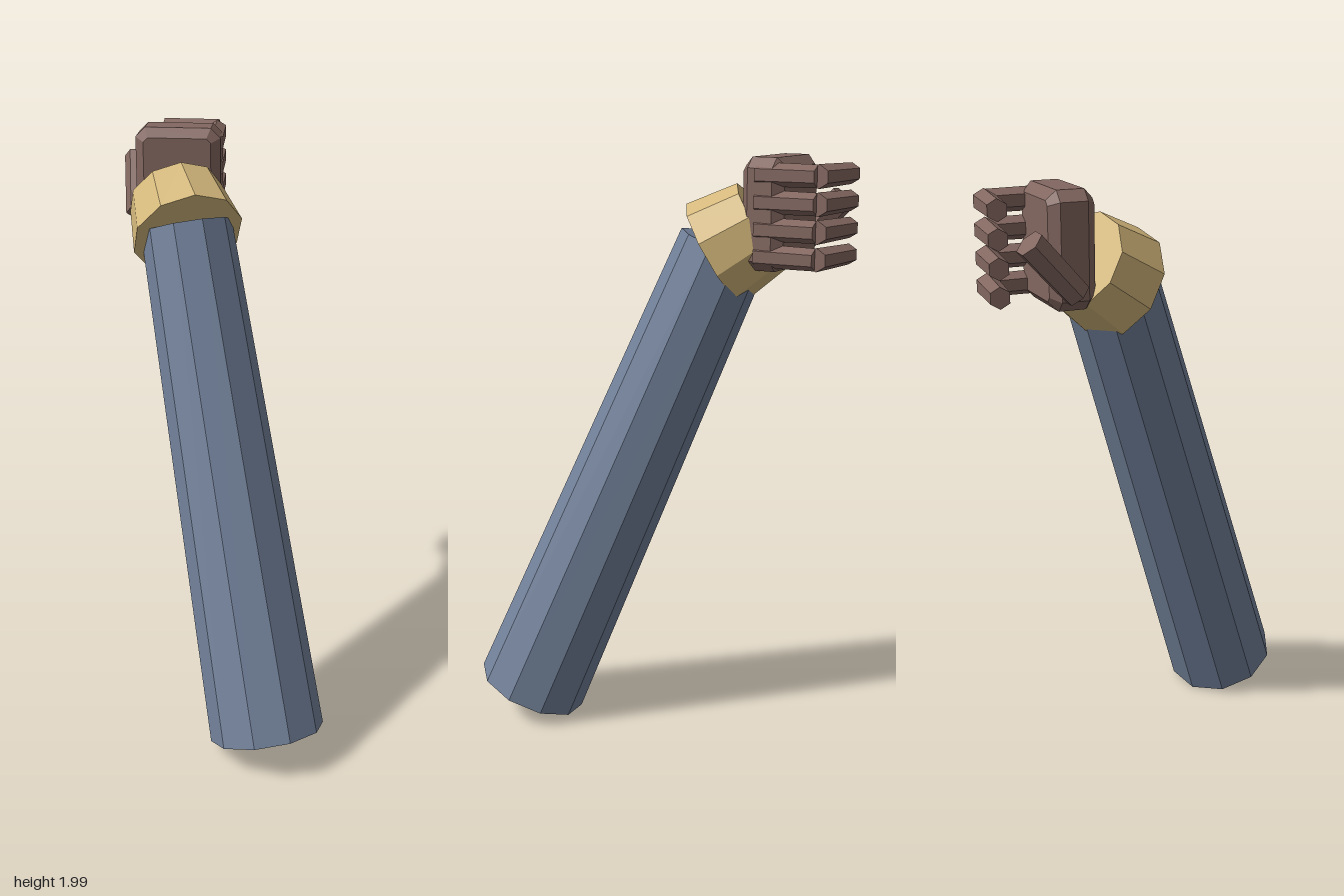
import * as THREE from 'three';

const V = (x, y, z) => new THREE.Vector3(x, y, z);

function flat(name, color) {
  const m = new THREE.MeshStandardMaterial({ color, flatShading: true });
  m.name = name;
  return m;
}

// Tapered prism from a to b; one of its corners points along "corner"
function prism(name, a, b, r0, r1, sides, corner, material) {
  const axis = b.clone().sub(a);
  const geo = new THREE.CylinderGeometry(r1, r0, axis.length(), sides);
  axis.normalize();
  const z = corner.clone().addScaledVector(axis, -corner.dot(axis)).normalize();
  const x = axis.clone().cross(z);
  const mesh = new THREE.Mesh(geo, material);
  mesh.quaternion.setFromRotationMatrix(new THREE.Matrix4().makeBasis(x, axis, z));
  mesh.position.copy(a).add(b).multiplyScalar(0.5);
  mesh.name = name;
  return mesh;
}

// Box with every edge cut off at an angle
function chamferedBox(w, h, d, c) {
  const x = w / 2 - c, y = h / 2 - c, k = c * 0.5;
  const shape = new THREE.Shape([
    [x - k, -y], [x, k - y], [x, y - k], [x - k, y],
    [k - x, y], [-x, y - k], [-x, k - y], [k - x, -y],
  ].map(([px, py]) => new THREE.Vector2(px, py)));
  const geo = new THREE.ExtrudeGeometry(shape, {
    depth: d - 2 * c, bevelEnabled: true, bevelSegments: 1, bevelSize: c, bevelThickness: c,
  });
  geo.translate(0, 0, c - d / 2);
  return geo;
}

export function createModel() {
  const group = new THREE.Group();
  const sleeveMat = flat('slate blue sleeve', 0x72819a);
  const cuffMat = flat('gold cuff', 0xd4b87c);
  const skinMat = flat('brown hand', 0x836760);

  // Long sleeve leaning back and to the right
  group.add(prism('sleeve', V(0.2, 0.085, 0.42), V(-0.135, 1.7, -0.177),
    0.196, 0.155, 10, V(0.19, 0.024, -0.04), sleeveMat));

  // Flared cuff bending towards the hand
  const wide = V(-0.126, 1.675, -0.147);
  const narrow = wide.clone().addScaledVector(V(-0.33, 0.52, -0.79).normalize(), 0.18);
  group.add(prism('cuff', wide, narrow, 0.19, 0.162, 10, V(-0.071, 0.125, 0.118), cuffMat));

  // Hand
  const hand = new THREE.Group();
  hand.name = 'hand';
  const palm = new THREE.Mesh(chamferedBox(0.29, 0.36, 0.147, 0.03), skinMat);
  palm.name = 'palm';
  palm.position.set(-0.178, 1.82, -0.358);
  hand.add(palm);

  // Four curled fingers, two segments each
  const up = V(0, 1, 0);
  for (let i = 0; i < 4; i++) {
    const y = 1.947 - i * 0.086;
    hand.add(prism('fingerBase', V(-0.06, y, -0.34), V(-0.066, y, -0.545), 0.038, 0.036, 6, up, skinMat));
    hand.add(prism('fingerTip', V(-0.06, y, -0.55), V(-0.257, y, -0.572), 0.038, 0.034, 6, up, skinMat));
  }

  // Thumb
  hand.add(prism('thumb', V(-0.325, 1.695, -0.355), V(-0.346, 1.862, -0.508),
    0.044, 0.047, 6, V(1, 0, 0), skinMat));
  group.add(hand);

  return group;
}
